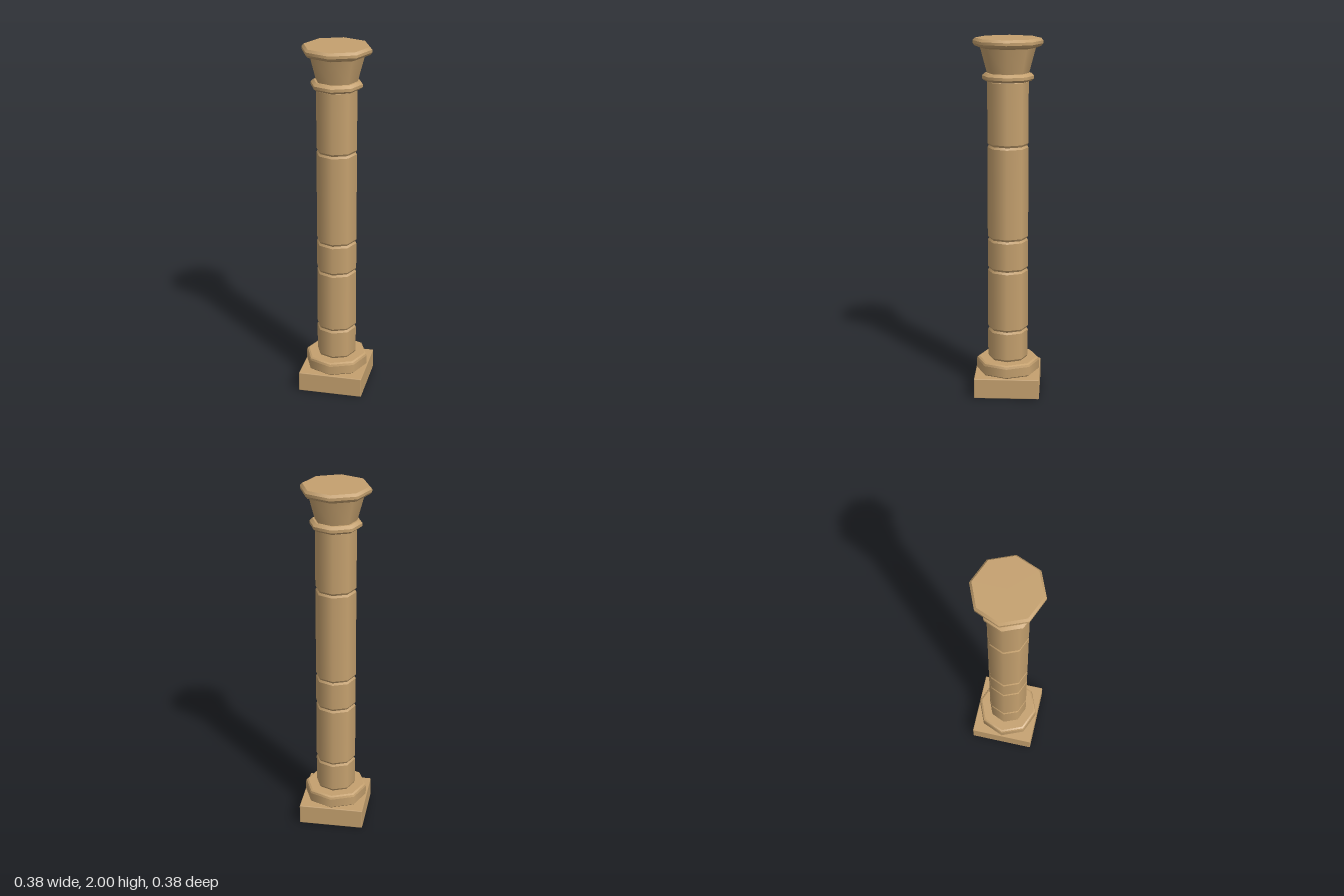
import * as THREE from 'three';
import { mergeGeometries } from 'three/addons/utils/BufferGeometryUtils.js';
import { RoundedBoxGeometry } from 'three/addons/geometries/RoundedBoxGeometry.js';

const SIDES = 8;

// Turns a bottom-to-top profile of [radius, y]; smooth around, sharp between bands.
function turned(profile) {
  const bands = [];
  for (let i = 0; i < profile.length - 1; i++) {
    const pair = [profile[i], profile[i + 1]].map(([r, y]) => new THREE.Vector2(r, y));
    bands.push(new THREE.LatheGeometry(pair, SIDES));
  }
  return mergeGeometries(bands);
}

export function createModel() {
  const group = new THREE.Group();
  const stone = new THREE.MeshStandardMaterial({ color: 0xc4a06e });
  const add = (name, geometry) => {
    const mesh = new THREE.Mesh(geometry, stone);
    mesh.name = name;
    group.add(mesh);
    return mesh;
  };

  // Square plinth with slightly eased edges
  add('plinth', new RoundedBoxGeometry(0.366, 0.115, 0.366, 1, 0.005)).position.y = 0.0575;

  // Octagonal base moulding
  add('baseMoulding', turned([
    [0, 0.115], [0.17, 0.115], [0.178, 0.122], [0.178, 0.172], [0.174, 0.184], [0.164, 0.19], [0, 0.19],
  ]));

  // Shaft drums of uneven height, chamfered at the joints
  const joints = [0.19, 0.365, 0.715, 0.89, 1.415, 1.775];
  const radius = 0.113, chamfer = 0.007;
  for (let i = 0; i < joints.length - 1; i++) {
    const [y0, y1] = [joints[i], joints[i + 1]];
    add(`shaftDrum${i + 1}`, turned([
      [0, y0], [radius - chamfer, y0], [radius, y0 + 0.012],
      [radius, y1 - 0.012], [radius - chamfer, y1], [0, y1],
    ]));
  }

  // Neck ring
  add('neckRing', turned([
    [0, 1.768], [0.126, 1.768], [0.142, 1.781], [0.142, 1.797], [0.126, 1.812], [0, 1.812],
  ]));

  // Flared capital
  add('capital', turned([[0, 1.805], [0.113, 1.805], [0.153, 1.955], [0, 1.955]]));

  // Top slab
  add('abacus', turned([
    [0, 1.948], [0.156, 1.948], [0.181, 1.958], [0.191, 1.971], [0.191, 1.986], [0.179, 2], [0, 2],
  ]));

  return group;
}
